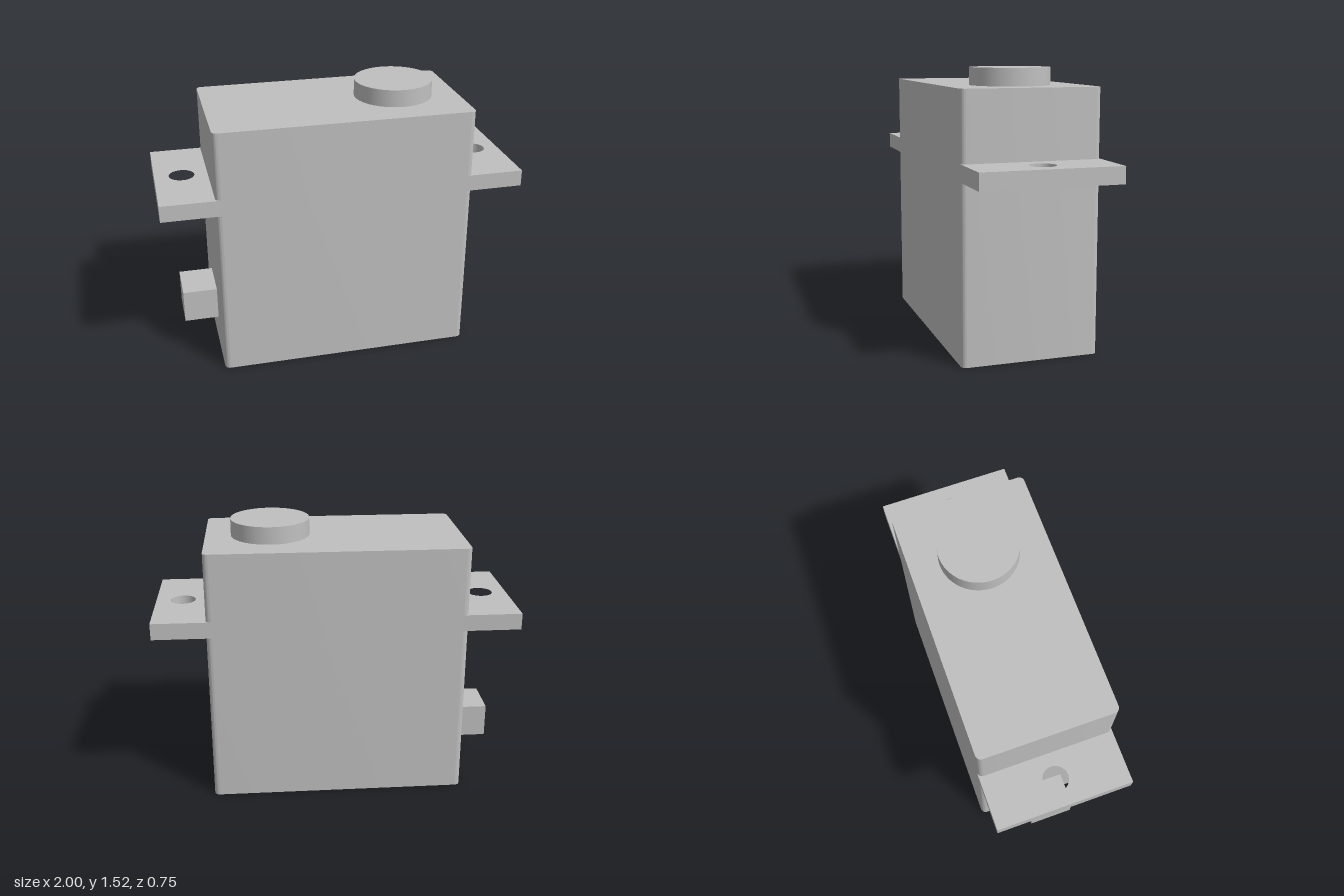
import * as THREE from 'three';
import { toCreasedNormals } from 'three/addons/utils/BufferGeometryUtils.js';

const HALF_X = 0.708, HALF_Z = 0.377, CORNER = 0.03;
const HEIGHT = 1.425;

// Extrudes an outline drawn in plan upward from y = bottom to y = top
function slab(shape, bottom, top, curveSegments) {
  const geo = new THREE.ExtrudeGeometry(shape, { depth: top - bottom, bevelEnabled: false, curveSegments });
  geo.rotateX(-Math.PI / 2).translate(0, bottom, 0);
  return toCreasedNormals(geo, 0.6);
}

function roundedRect(hx, hz, r) {
  const s = new THREE.Shape();
  s.absarc(hx - r, hz - r, r, 0, Math.PI / 2);
  s.absarc(-hx + r, hz - r, r, Math.PI / 2, Math.PI);
  s.absarc(-hx + r, -hz + r, r, Math.PI, Math.PI * 1.5);
  s.absarc(hx - r, -hz + r, r, Math.PI * 1.5, Math.PI * 2);
  s.closePath();
  return s;
}

// Square-cornered mounting tab with a screw hole; side is +1 or -1
function tabShape(side) {
  const inner = side * (HALF_X - CORNER), outer = side;
  const s = new THREE.Shape([
    new THREE.Vector2(inner, -HALF_Z), new THREE.Vector2(outer, -HALF_Z),
    new THREE.Vector2(outer, HALF_Z), new THREE.Vector2(inner, HALF_Z),
  ]);
  s.holes.push(new THREE.Path().absarc(side * 0.85, 0, 0.07, 0, Math.PI * 2, true));
  return s;
}

export function createModel() {
  const model = new THREE.Group();
  model.name = 'servoMotor';
  const grey = new THREE.MeshStandardMaterial({ color: 0xc0c0c0 });
  grey.name = 'light grey';

  const add = (name, geometry) => {
    const mesh = new THREE.Mesh(geometry, grey);
    mesh.name = name;
    model.add(mesh);
    return mesh;
  };

  // Housing with rounded upright edges
  add('housing', slab(roundedRect(HALF_X, HALF_Z, CORNER), 0, HEIGHT, 8));

  // Mounting tabs at both ends
  add('leftMountingTab', slab(tabShape(1), 0.962, 1.053, 24));
  add('rightMountingTab', slab(tabShape(-1), 0.962, 1.053, 24));

  // Round output boss on top
  add('outputBoss', new THREE.CylinderGeometry(0.217, 0.217, 0.095, 64))
    .position.set(0.35, HEIGHT + 0.0475, 0);

  // Cable outlet low on the right end
  add('cableOutlet', new THREE.BoxGeometry(0.21, 0.187, 0.25))
    .position.set(-0.795, 0.283, 0);

  return model;
}
